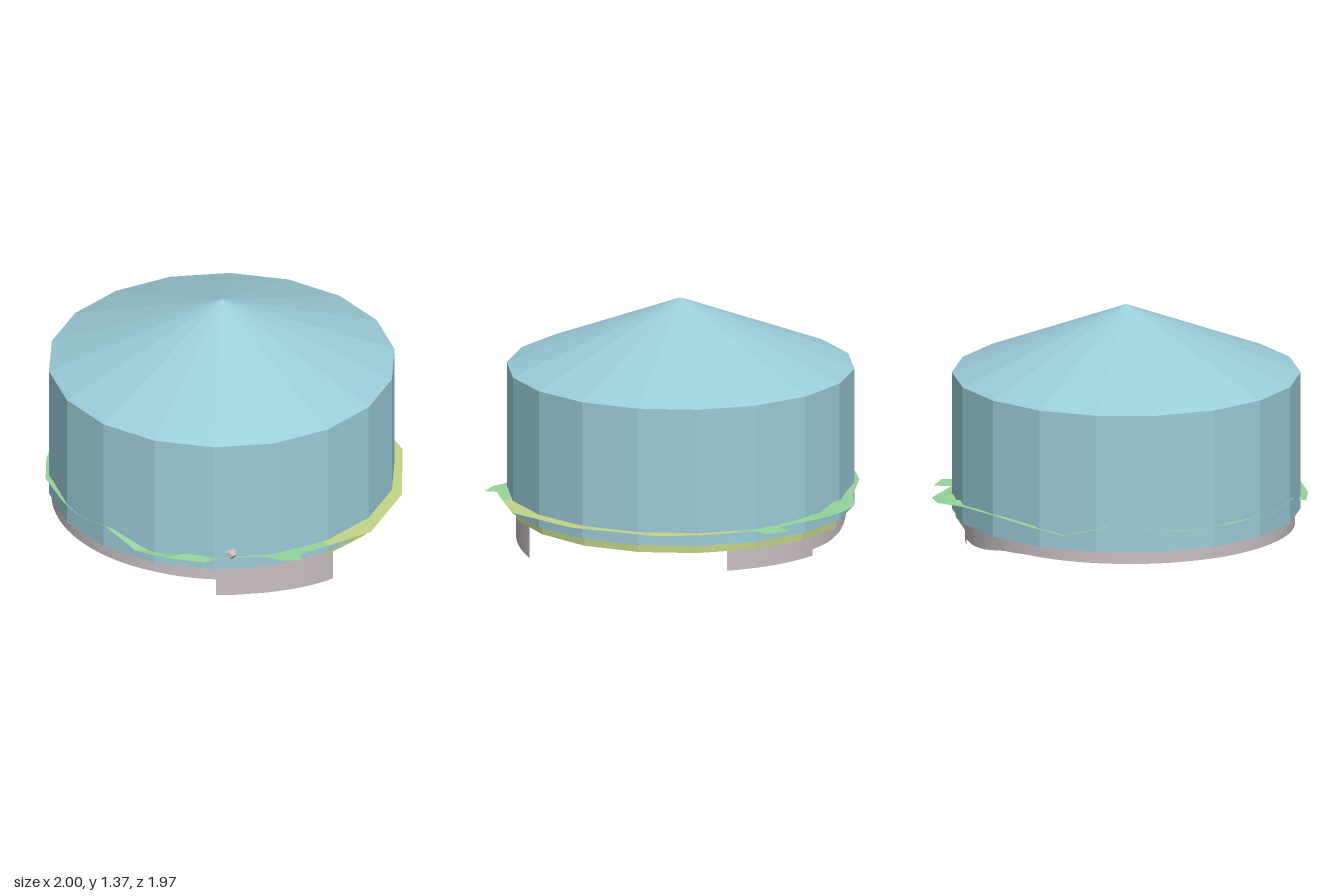
import * as THREE from 'three';

const mat = (name, color) => new THREE.MeshStandardMaterial({ name, color, side: THREE.DoubleSide });

// Mesh with faceted normals
function faceted(name, geometry, material) {
  const g = geometry.index ? geometry.toNonIndexed() : geometry;
  g.computeVertexNormals();
  const mesh = new THREE.Mesh(g, material);
  mesh.name = name;
  return mesh;
}

function fromPoints(points) {
  return new THREE.BufferGeometry().setAttribute('position', new THREE.Float32BufferAttribute(points, 3));
}

// Curved upright wall; profile rows are [angle in degrees, bottom height]
function wall(name, profile, cx, cz, radius, top, material, step) {
  const pos = [];
  const point = (a, y) => [cx + radius * Math.cos(a), y, cz + radius * Math.sin(a)];
  const idx = [];
  for (let i = 0; i < profile.length - 1; i++) {
    const [a0, y0] = profile[i], [a1, y1] = profile[i + 1];
    if (a0 === a1) continue;
    const n = Math.ceil((a1 - a0) / step);
    for (let k = 0; k <= n; k++) {
      const a = THREE.MathUtils.degToRad(a0 + (a1 - a0) * k / n);
      const b = pos.length / 3;
      pos.push(...point(a, y0 + (y1 - y0) * k / n), ...point(a, top));
      if (k < n) idx.push(b, b + 1, b + 2, b + 1, b + 3, b + 2);
    }
  }
  const g = fromPoints(pos);
  g.setIndex(idx);
  if (step > 10) return faceted(name, g, material);
  g.computeVertexNormals();
  const mesh = new THREE.Mesh(g, material);
  mesh.name = name;
  return mesh;
}

export function createModel() {
  const group = new THREE.Group();
  const blue = mat('paleBlue', 0x9bccda);
  const grey = mat('warmGrey', 0xc9bfc3);
  const green = mat('grassGreen', 0x95d49b);
  const olive = mat('oliveGreen', 0xc2d488);
  const moss = mat('greyGreen', 0xa9c0aa);

  // Eighteen-sided drum and its conical roof
  const drum = faceted('drum', new THREE.CylinderGeometry(0.94, 0.94, 0.76, 18, 1, true), blue);
  drum.position.set(-0.03, 0.61, 0.05);
  const roof = faceted('roof', new THREE.ConeGeometry(0.94, 0.38, 18, 1, true), blue);
  roof.position.set(-0.03, 1.18, 0.05);
  drum.rotation.y = roof.rotation.y = Math.PI / 18;
  group.add(drum, roof);

  // Round skirt with stepped and sloping lower edge, open at the back corner
  group.add(wall('skirt', [
    [-7.7, 0], [5, 0.02], [14, 0.033], [25, 0.044], [37.4, 0.047],
    [37.4, 0.145], [60, 0.157], [90, 0.16], [190, 0.16], [200, 0.15],
    [212, 0.118], [222, 0.102], [232.7, 0.097], [232.7, 0.062], [269.4, 0.062],
  ], -0.04, 0.08, 0.89, 0.3, grey, 4));

  // Olive band across the opening
  group.add(wall('band', [[-140, 0.185], [-40, 0.185], [0, 0.195]],
    -0.03, 0.05, 0.92, 0.3, olive, 20));

  // Ragged ground sheet: rim points [x, y, z]
  const rim = [
    [-0.08, 0.3, -0.92], [0.13, 0.3, -0.92], [0.37, 0.3, -0.87], [0.76, 0.3, -0.57],
    [0.98, 0.3, -0.19], [0.96, 0.3, 0.08], [0.94, 0.3, 0.26], [1, 0.3, 0.29],
    [0.93, 0.3, 0.38], [0.84, 0.3, 0.43], [0.71, 0.3, 0.63], [0.7, 0.3, 0.72],
    [0.53, 0.3, 0.86], [0.37, 0.3, 0.94], [0.16, 0.365, 0.98], [-0.09, 0.325, 0.98],
    [-0.22, 0.345, 0.98], [-0.47, 0.35, 0.91], [-0.66, 0.335, 0.76], [-0.82, 0.37, 0.57],
    [-0.92, 0.37, 0.42], [-0.97, 0.31, 0.2], [-1, 0.34, 0.02], [-0.95, 0.36, -0.24],
    [-0.84, 0.35, -0.5], [-0.8, 0.34, -0.68], [-0.69, 0.33, -0.78], [-0.6, 0.32, -0.81],
    [-0.32, 0.3, -0.87], [-0.36, 0.3, -0.96], [-0.22, 0.3, -0.99], [-0.17, 0.3, -0.91],
  ];
  const rings = [0, 0.25, 0.5, 0.72, 0.88, 1];
  const at = (i, r) => {
    const [x, y, z] = rim[i % rim.length], s = rings[r];
    const rough = x - z < 0.1 && r > 0 && r < 5 ? 0.014 * Math.sin(i % rim.length * 2.7 + r * 4.1) : 0;
    return [x * s, 0.31 + (y - 0.31) * s * s + rough, z * s];
  };
  const faces = { grass: [], oliveGround: [], mossGround: [] };
  rim.forEach((_, i) => {
    for (let r = 0; r < rings.length - 1; r++) {
      const a = at(i, r), b = at(i + 1, r), c = at(i, r + 1), d = at(i + 1, r + 1);
      const near = (a[0] + d[0] - a[2] - d[2]) / 2;
      const kind = i < 5 && r > 2 ? 'oliveGround' : near < 0 && r < 4 ? 'mossGround' : 'grass';
      faces[kind].push(...a, ...d, ...c);
      if (r > 0) faces[kind].push(...a, ...b, ...d);
    }
  });
  group.add(faceted('grass', fromPoints(faces.grass), green));
  group.add(faceted('oliveGround', fromPoints(faces.oliveGround), olive));
  group.add(faceted('mossGround', fromPoints(faces.mossGround), moss));

  // Small stones embedded in the ground: [x, z, radius]
  const stones = [
    [0.16, 0.66, 0.055], [0.1, 0.45, 0.045], [0.33, 0.08, 0.035], [0.24, -0.31, 0.025],
    [-0.05, -0.43, 0.045], [-0.57, -0.24, 0.05], [-0.45, -0.2, 0.02], [-0.81, -0.03, 0.045],
    [-0.62, 0.18, 0.04], [-0.37, 0.53, 0.045], [0.65, -0.2, 0.05],
  ];
  for (const [x, z, r] of stones) {
    const stone = faceted('stone', new THREE.DodecahedronGeometry(r), grey);
    stone.scale.y = 0.6;
    stone.rotation.y = x * 9;
    stone.position.set(x, 0.305, z);
    group.add(stone);
  }
  const edgeStone = faceted('edgeStone', new THREE.DodecahedronGeometry(0.034), grey);
  edgeStone.position.set(0.73, 0.32, 0.57);
  group.add(edgeStone);

  return group;
}
